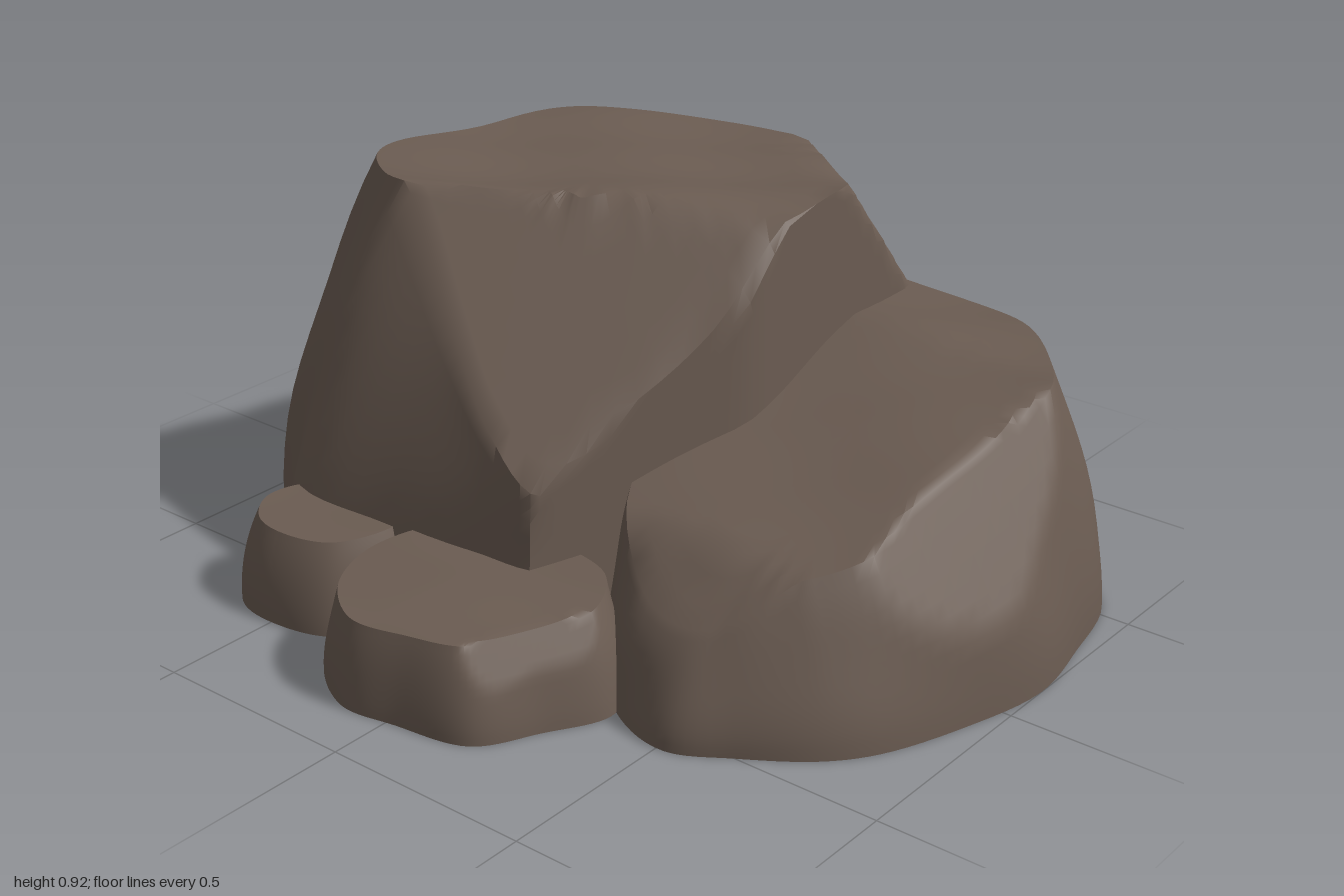
import * as THREE from 'three';
import { toCreasedNormals } from 'three/addons/utils/BufferGeometryUtils.js';

const SEGMENTS = 96, WALL = 12, CAP = 12;
const { smoothstep } = THREE.MathUtils;

// Gentle, repeatable unevenness of the stone
const bump = (x, y, z) =>
  Math.sin(9 * x + 4 * y + 1) * Math.sin(8 * z - 5 * y + 2) + 0.5 * Math.sin(17 * x - 13 * z + 6 * y);

// Smooth closed outline through [x, z] points
function outline(points) {
  const curve = new THREE.CatmullRomCurve3(points.map(([x, z]) => new THREE.Vector3(x, 0, z)), true);
  return Array.from({ length: SEGMENTS }, (_, i) => curve.getPoint(i / SEGMENTS));
}

// Hollow rock: wall curving from base outline to top outline, a cap, then flat cuts
function rock(name, material, { base, top, height, floor = () => 0, power = 1.7, rough = 0.012, cuts = [] }) {
  const lower = outline(base), upper = outline(top);
  const centre = upper.reduce((sum, p) => sum.add(p), new THREE.Vector3()).divideScalar(SEGMENTS);
  const positions = [], index = [], p = new THREE.Vector3();
  const planes = cuts.map(([x, y, z, d]) => {
    const length = Math.hypot(x, y, z);
    return { normal: new THREE.Vector3(x, y, z).divideScalar(length), d: d / length };
  });
  for (let r = 0; r <= WALL + CAP; r++) {
    for (let i = 0; i < SEGMENTS; i++) {
      if (r <= WALL) {
        const t = r / WALL, bottom = floor(lower[i].x, lower[i].z);
        p.copy(lower[i]).lerp(upper[i], t ** power);
        p.y = bottom + (height(upper[i].x, upper[i].z) - bottom) * t;
        const out = 1 + rough * bump(p.x, p.y, p.z) * Math.sin(Math.PI * t);
        p.x = centre.x + (p.x - centre.x) * out;
        p.z = centre.z + (p.z - centre.z) * out;
      } else {
        p.copy(upper[i]).lerp(centre, (r - WALL) / CAP);
        p.y = height(p.x, p.z);
      }
      for (const { normal, d } of planes) {
        const over = p.dot(normal) - d;
        if (over > 0) p.addScaledVector(normal, -over);
      }
      positions.push(p.x, Math.max(p.y, 0), p.z);
    }
  }
  for (let r = 0; r < WALL + CAP; r++) {
    for (let i = 0; i < SEGMENTS; i++) {
      const j = (i + 1) % SEGMENTS;
      const a = r * SEGMENTS + i, b = r * SEGMENTS + j;
      const c = b + SEGMENTS, d = a + SEGMENTS;
      index.push(a, b, c);
      if (r < WALL + CAP - 1) index.push(a, c, d);
    }
  }
  const geometry = new THREE.BufferGeometry();
  geometry.setAttribute('position', new THREE.Float32BufferAttribute(positions, 3));
  geometry.setIndex(index);
  const mesh = new THREE.Mesh(toCreasedNormals(geometry, 0.7), material);
  mesh.name = name;
  return mesh;
}

// Height of the sloping ledge along x
function ledgeHeight(x, z) {
  const steps = [[-0.6, 0.18], [-0.45, 0.25], [-0.33, 0.36], [0.05, 0.48], [0.42, 0.59], [2, 0.62]];
  const k = Math.max(1, steps.findIndex(([sx]) => x < sx));
  const [x0, y0] = steps[k - 1], [x1, y1] = steps[k];
  return y0 + (y1 - y0) * (x - x0) / (x1 - x0) + 0.008 * bump(x, 0, z);
}

export function createModel() {
  const stone = new THREE.MeshStandardMaterial({ color: 0x6b5c52, side: THREE.DoubleSide });
  stone.name = 'brown stone';
  const group = new THREE.Group();
  group.name = 'rockCluster';

  // Tall rock: flat top meeting a slanted facet, above a sheer two-sided cliff
  group.add(rock('tallRock', stone, {
    base: [[-0.51, -0.08], [-0.49, 0.12], [-0.25, 0.36], [0.1, 0.45], [0.5, 0.45], [0.8, 0.34], [0.86, -0.1],
      [0.8, -0.42], [0.74, -0.63], [0.47, -0.88], [0.2, -0.95], [-0.05, -1], [-0.25, -0.95], [-0.37, -0.8],
      [-0.52, -0.64], [-0.53, -0.35]],
    top: [[-0.44, -0.07], [-0.46, 0.1], [-0.2, 0.32], [0.1, 0.37], [0.45, 0.37], [0.62, 0.2], [0.62, -0.1],
      [0.57, -0.3], [0.5, -0.46], [0.42, -0.6], [0.2, -0.67], [0.0, -0.73], [-0.11, -0.71], [-0.18, -0.62],
      [-0.24, -0.46], [-0.36, -0.24]],
    height: (x, z) => Math.min(0.905 + 0.01 * bump(x, 0, z), 0.887 + 0.953 * x - 0.453 * z),
    floor: (x, z) => 0.22 * smoothstep(z, 0.3, 0.42),
    cuts: [[0.084, 0.07, 0.066, 0.115], [-0.39, 0, 0.92, 0.258], [0, 0, 1, 0.285]],
  }));

  // Lower ledge in front, with a flat chip on its face
  group.add(rock('frontLedge', stone, {
    base: [[-0.57, 0.52], [-0.5, 0.65], [-0.4, 0.79], [-0.3, 0.87], [-0.1, 0.95], [0.12, 1], [0.32, 0.97],
      [0.54, 0.91], [0.67, 0.77], [0.78, 0.58], [0.815, 0.33], [0.8, 0.1], [0.4, 0], [0, 0.08], [-0.35, 0.18],
      [-0.53, 0.37]],
    top: [[-0.47, 0.5], [-0.43, 0.59], [-0.34, 0.67], [-0.25, 0.75], [-0.1, 0.83], [0.12, 0.87], [0.3, 0.86],
      [0.45, 0.79], [0.57, 0.68], [0.65, 0.53], [0.67, 0.33], [0.65, 0.12], [0.4, 0.05], [0, 0.1], [-0.3, 0.2],
      [-0.44, 0.36]],
    height: ledgeHeight,
    floor: (x, z) => 0.2 * (1 - smoothstep(z, 0.05, 0.25)),
    cuts: [[-0.24, 0.53, 0.81, 0.88]],
  }));

  // Two small low stones beside the cliff
  group.add(rock('lowStone', stone, {
    base: [[-0.865, -0.12], [-0.85, 0.02], [-0.81, 0.2], [-0.68, 0.28], [-0.53, 0.35], [-0.4, 0.27], [-0.33, 0],
      [-0.4, -0.22], [-0.62, -0.33], [-0.76, -0.28]],
    top: [[-0.83, -0.12], [-0.81, 0.03], [-0.77, 0.16], [-0.66, 0.24], [-0.52, 0.29], [-0.4, 0.22], [-0.36, 0],
      [-0.41, -0.18], [-0.6, -0.28], [-0.74, -0.24]],
    height: (x, z) => 0.275 + 0.09 * x + 0.004 * bump(x, 0, z),
    cuts: [[-0.45, 0.5, 0.74, 0.56]],
  }));
  group.add(rock('smallStone', stone, {
    base: [[-0.715, -0.5], [-0.69, -0.62], [-0.57, -0.71], [-0.46, -0.67], [-0.38, -0.5], [-0.4, -0.32],
      [-0.49, -0.265], [-0.67, -0.34]],
    top: [[-0.67, -0.5], [-0.65, -0.59], [-0.57, -0.65], [-0.48, -0.62], [-0.42, -0.5], [-0.43, -0.36],
      [-0.5, -0.31], [-0.63, -0.37]],
    height: (x, z) => 0.22 + 0.05 * (x + 0.5) + 0.004 * bump(x, 0, z),
    power: 2,
  }));
  return group;
}
